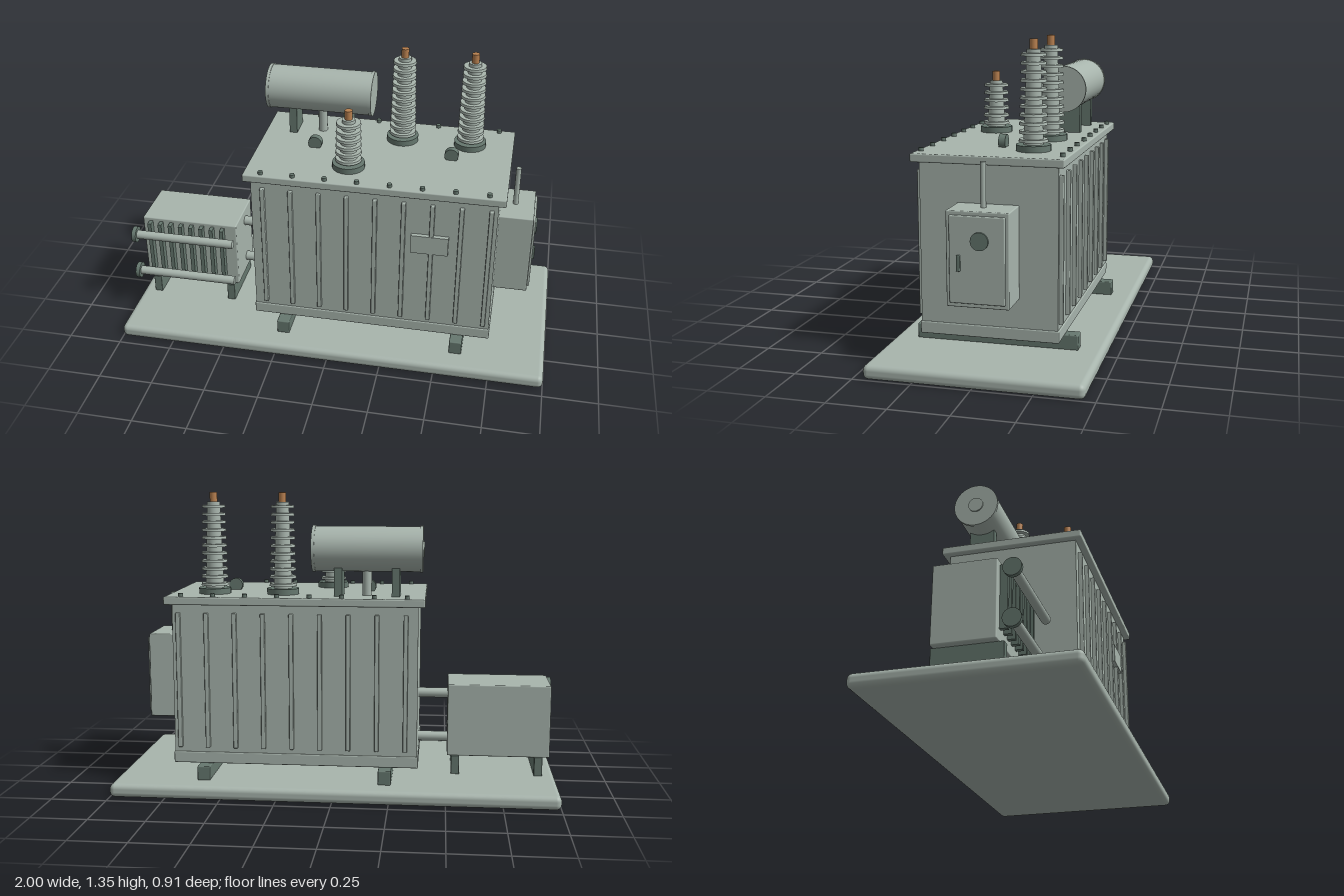
import * as THREE from 'three';
import { RoundedBoxGeometry } from 'three/addons/geometries/RoundedBoxGeometry.js';

const paint = new THREE.MeshStandardMaterial({ color: 0xa8b5ad });
paint.name = 'greyGreenPaint';
const dark = new THREE.MeshStandardMaterial({ color: 0x66786f });
dark.name = 'darkGreenFittings';
const copper = new THREE.MeshStandardMaterial({ color: 0xb8804f });
copper.name = 'copper';

export function createModel() {
  const root = new THREE.Group();
  root.name = 'transformer';

  const add = (name, geometry, material, parent = root) => {
    const mesh = new THREE.Mesh(geometry, material);
    mesh.name = name;
    parent.add(mesh);
    return mesh;
  };
  // Box given by its limits, with optional rounded edges
  const box = (name, [x0, x1], [y0, y1], [z0, z1], material, radius = 0) => {
    const size = [x1 - x0, y1 - y0, z1 - z0];
    const g = radius ? new RoundedBoxGeometry(...size, 3, radius) : new THREE.BoxGeometry(...size);
    g.translate((x0 + x1) / 2, (y0 + y1) / 2, (z0 + z1) / 2);
    return add(name, g, material);
  };
  // Cylinder from a to b along one axis; c holds the other two coordinates in xyz order
  const rod = (name, axis, [a, b], c, r, material, sides = 24) => {
    const g = new THREE.CylinderGeometry(r, r, b - a, sides);
    const m = (a + b) / 2;
    if (axis === 'x') g.rotateZ(-Math.PI / 2).translate(m, c[0], c[1]);
    else if (axis === 'y') g.translate(c[0], m, c[1]);
    else g.rotateX(Math.PI / 2).translate(c[0], c[1], m);
    return add(name, g, material);
  };

  // Base slab and skids
  box('baseSlab', [-1, 1], [0.004, 0.066], [-0.457, 0.457], paint, 0.024);
  for (const x of [-0.227, 0.59]) {
    box('skid', [x - 0.029, x + 0.029], [0.064, 0.13], [-0.353, 0.353], dark, 0.005);
  }

  // Main tank
  box('tankFoot', [-0.375, 0.738], [0.13, 0.182], [-0.297, 0.297], paint, 0.005);
  box('tank', [-0.37, 0.733], [0.18, 0.865], [-0.292, 0.292], paint);
  box('tankLid', [-0.4, 0.765], [0.86, 0.896], [-0.322, 0.322], paint, 0.006);
  for (const side of [-1, 1]) {
    for (let i = 0; i < 9; i++) {
      const x = -0.316 + i * 0.1277;
      const z = side * 0.298;
      box('tankRib', [x - 0.01, x + 0.01], [0.205, 0.823], [z - 0.011, z + 0.011], paint, 0.004);
    }
    for (let i = 0; i < 8; i++) {
      rod('lidBolt', 'y', [0.89, 0.911], [-0.32 + i * 0.1443, side * 0.298], 0.011, dark, 10);
    }
  }
  box('ratingPlate', [0.36, 0.527], [0.575, 0.665], [0.29, 0.312], paint);
  for (const x of [-0.135, 0.495]) {
    rod('liftingLug', 'z', [-0.015, 0.015], [x, 0.918], 0.032, dark, 16);
  }

  // Insulated bushings: base, ribbed column and copper terminal
  const bushing = (name, x, z, top, discs, discLow, discHigh) => {
    const group = new THREE.Group();
    group.name = name;
    group.position.set(x, 0, z);
    root.add(group);
    const cyl = (part, rTop, rBottom, y0, y1, material, sides = 28) =>
      add(part, new THREE.CylinderGeometry(rTop, rBottom, y1 - y0, sides)
        .translate(0, (y0 + y1) / 2, 0), material, group);
    cyl('bushingBase', 0.073, 0.073, 0.893, 0.922, dark);
    cyl('bushingColumn', 0.029, 0.042, 0.92, top, paint);
    const first = 0.939;
    const last = top - 0.021;
    for (let i = 0; i < discs; i++) {
      const t = i / (discs - 1);
      const y = first + (last - first) * t;
      const r = discLow + (discHigh - discLow) * t;
      cyl('bushingShed', r - 0.002, r, y - 0.006, y + 0.006, paint);
    }
    cyl('bushingTerminal', 0.017, 0.017, top, top + 0.042, copper, 20);
  };
  bushing('tallBushing', 0.25, -0.148, 1.312, 11, 0.062, 0.053);
  bushing('tallBushing', 0.565, -0.148, 1.312, 11, 0.062, 0.053);
  bushing('shortBushing', 0.05, 0.157, 1.134, 6, 0.06, 0.056);

  // Oil conservator drum on two brackets
  const drum = [1.105, -0.172];
  rod('conservatorDrum', 'x', [-0.38, 0.105], drum, 0.101, paint, 48);
  for (const x of [-0.38, 0.1]) rod('drumRim', 'x', [x - 0.006, x + 0.008], drum, 0.104, paint, 48);
  rod('drumCap', 'x', [-0.392, -0.38], drum, 0.035, paint);
  for (const x of [-0.267, -0.01]) {
    box('drumBracket', [x - 0.018, x + 0.018], [0.893, 1.03], [-0.23, -0.114], dark);
  }
  rod('oilPipe', 'y', [0.893, 1.03], [-0.135, -0.172], 0.021, paint);

  // Radiator with front fins
  box('radiatorBody', [-0.973, -0.505], [0.15, 0.485], [-0.138, 0.125], paint, 0.006);
  for (let i = 0; i < 8; i++) {
    const x = -0.932 + i * 0.0514;
    box('radiatorFin', [x - 0.009, x + 0.009], [0.2, 0.468], [0.12, 0.157], dark);
  }
  for (const x of [-0.922, -0.543]) {
    box('radiatorFoot', [x - 0.019, x + 0.019], [0.064, 0.152], [-0.146, 0.146], dark, 0.003);
  }
  for (const y of [0.215, 0.424]) {
    rod('headerPipe', 'x', [-0.985, -0.505], [y, 0.19], 0.021, paint);
    rod('headerValve', 'x', [-1, -0.98], [y, 0.19], 0.038, dark);
    rod('tankPipe', 'x', [-0.51, -0.365], [y, -0.032], 0.023, paint);
  }

  // Control cabinet
  box('cabinet', [0.73, 0.888], [0.305, 0.697], [-0.13, 0.13], paint, 0.005);
  box('cabinetDoor', [0.88, 0.898], [0.323, 0.68], [-0.115, 0.115], paint, 0.005);
  rod('cabinetDial', 'x', [0.895, 0.906], [0.581, -0.012], 0.037, dark, 32);
  box('cabinetHandle', [0.895, 0.908], [0.455, 0.522], [0.067, 0.083], dark, 0.004);
  rod('cableConduit', 'y', [0.69, 0.882], [0.8, 0], 0.012, paint, 16);

  return root;
}
